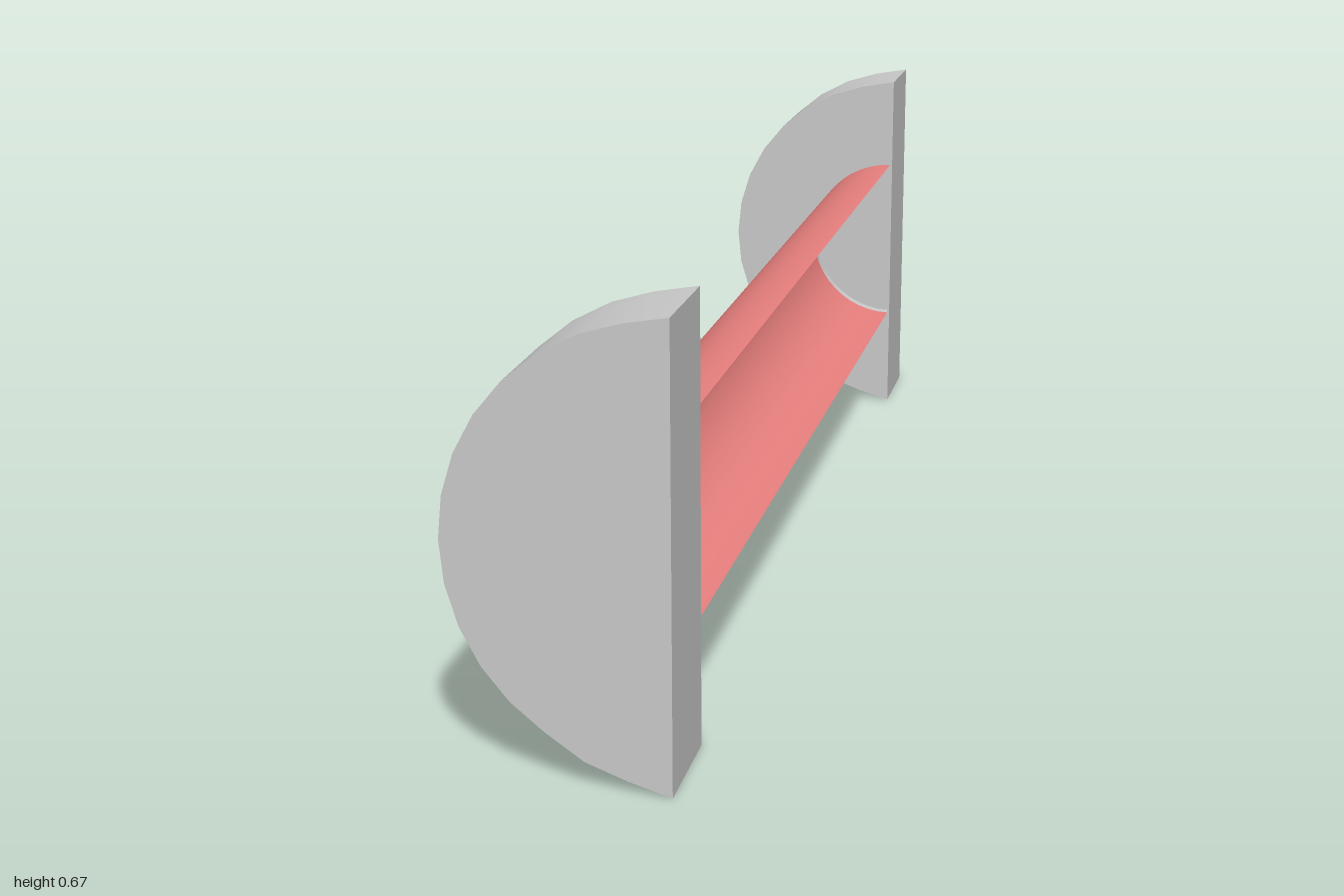
import * as THREE from 'three';
import { toCreasedNormals } from 'three/addons/utils/BufferGeometryUtils.js';

const FLAT_X = 0.159, MID_Y = 0.343, DISC_R = 0.319;
const TROUGH_X = 0.155, TROUGH_R = 0.155;
const INNER_Z = 0.835, RECESS = 0.02;

// Half-disc outline, slightly stretched toward the two flat-side corners
function halfDisc() {
  const pts = [];
  for (let i = 0; i <= 16; i++) {
    const a = Math.PI / 2 + (i / 16) * Math.PI;
    pts.push(new THREE.Vector2(FLAT_X + DISC_R * Math.cos(a), MID_Y + DISC_R * Math.sin(a)));
  }
  pts[0].y = 0.667;
  pts[14].y = 0.04;
  pts[15].y = 0.018;
  pts[16].y = 0;
  return new THREE.Shape(pts);
}

function slab(shape, z0, z1) {
  const geo = new THREE.ExtrudeGeometry(shape, { depth: z1 - z0, bevelEnabled: false, curveSegments: 24 });
  geo.translate(0, 0, z0);
  return toCreasedNormals(geo, 0.5);
}

export function createModel() {
  const group = new THREE.Group();
  const grey = new THREE.MeshStandardMaterial({ color: 0xcccccc });
  const red = new THREE.MeshStandardMaterial({ color: 0xea817f, side: THREE.DoubleSide });

  // End plates: an outer slab and an inner rim with a shallow half-round recess
  const rim = halfDisc();
  const hole = new THREE.Path();
  hole.absarc(TROUGH_X, MID_Y, TROUGH_R, Math.PI / 2, Math.PI * 1.5, false);
  hole.closePath();
  rim.holes.push(hole);
  const ends = [
    ['frontEnd', INNER_Z + RECESS, 1, INNER_Z, INNER_Z + RECESS],
    ['backEnd', -1, -INNER_Z - RECESS, -INNER_Z - RECESS, -INNER_Z],
  ];
  for (const [name, p0, p1, r0, r1] of ends) {
    const end = new THREE.Group();
    end.name = name;
    const plate = new THREE.Mesh(slab(halfDisc(), p0, p1), grey);
    plate.name = name + 'Plate';
    const inner = new THREE.Mesh(slab(rim, r0, r1), grey);
    inner.name = name + 'Rim';
    end.add(plate, inner);
    group.add(end);
  }

  // Thin half-round trough, open toward +x
  const geo = new THREE.CylinderGeometry(TROUGH_R, TROUGH_R, INNER_Z * 2, 24, 1, true, Math.PI, Math.PI);
  geo.rotateX(Math.PI / 2);
  const trough = new THREE.Mesh(geo, red);
  trough.name = 'trough';
  trough.position.set(TROUGH_X, MID_Y, 0);
  group.add(trough);

  return group;
}
